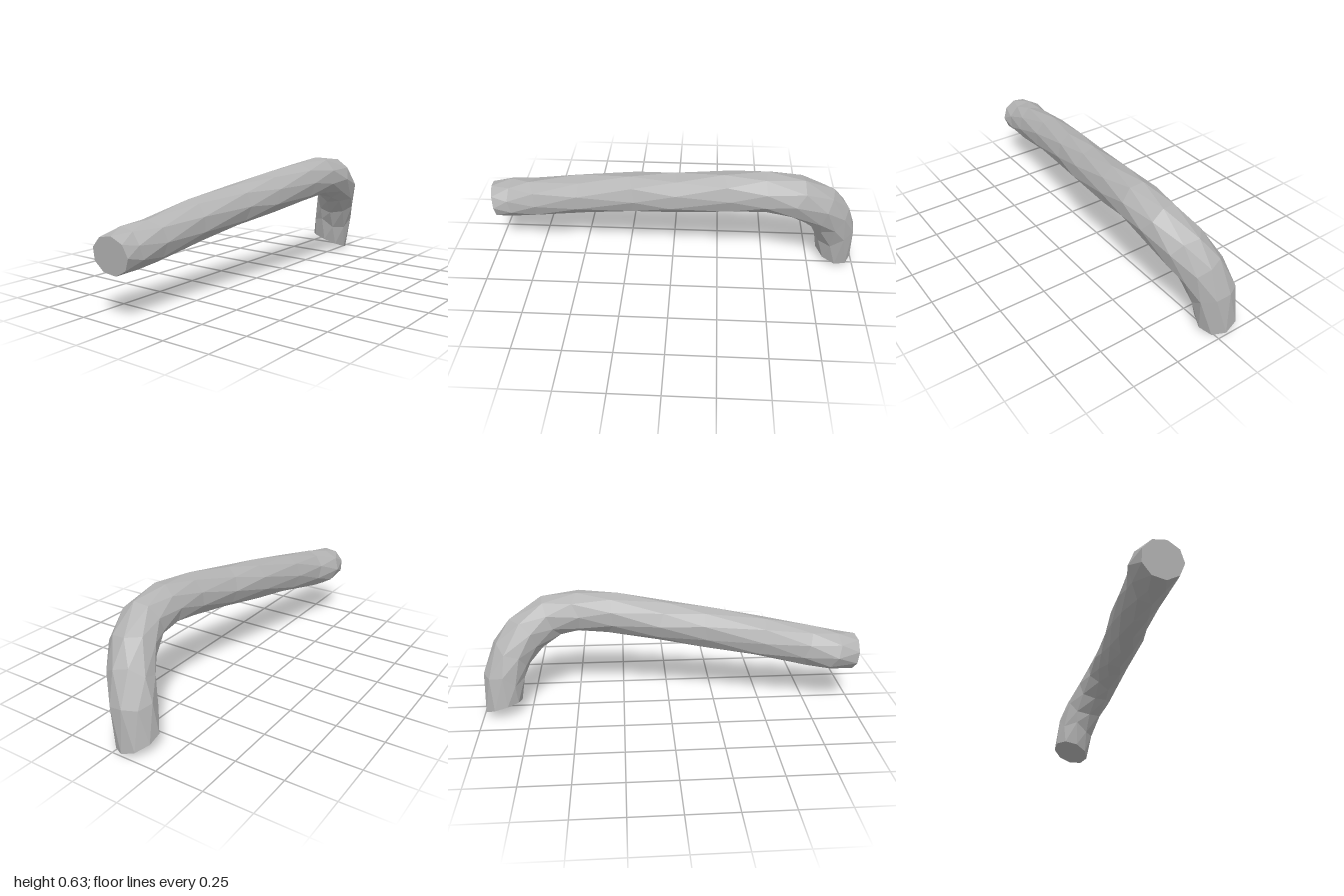
import * as THREE from 'three';

const SIDES = 9;

// Centre line from the long end to the hooked end: x, y, z, half width, half height
const STATIONS = [
  [-0.07, 0.313, 0.985, 0.102, 0.095],
  [-0.08, 0.325, 0.88, 0.115, 0.102],
  [-0.055, 0.345, 0.74, 0.103, 0.106],
  [-0.03, 0.393, 0.5, 0.102, 0.107],
  [0.01, 0.44, 0.2, 0.104, 0.107],
  [0.045, 0.468, -0.02, 0.104, 0.107],
  [0.078, 0.507, -0.3, 0.104, 0.107],
  [0.09, 0.52, -0.49, 0.105, 0.108],
  [0.086, 0.49, -0.64, 0.108, 0.113],
  [0.05, 0.415, -0.765, 0.112, 0.115],
  [0, 0.32, -0.842, 0.112, 0.112],
  [-0.042, 0.2, -0.885, 0.11, 0.108],
  [-0.068, 0.043, -0.897, 0.104, 0.101],
];

// Small seeded generator for the hand-cut unevenness
function seeded(seed) {
  return () => {
    seed = (seed * 16807) % 2147483647;
    return seed / 2147483647;
  };
}

function buildRings() {
  const rand = seeded(71);
  const centres = STATIONS.map(([x, y, z]) => new THREE.Vector3(x, y, z));
  const last = centres.length - 1;
  return STATIONS.map(([, , , w, h], j) => {
    const c = centres[j];
    const t = centres[Math.min(j + 1, last)].clone().sub(centres[Math.max(j - 1, 0)]).normalize();
    const side = new THREE.Vector3(1, 0, 0).addScaledVector(t, -t.x).normalize();
    const up = side.clone().cross(t);
    const isEnd = j === 0 || j === last;
    return Array.from({ length: SIDES }, (_, i) => {
      const a = ((i + (j % 2) / 2) / SIDES) * Math.PI * 2;
      const r = isEnd ? 1 : 0.98 + rand() * 0.06;
      const p = c.clone()
        .addScaledVector(side, Math.cos(a) * w * r)
        .addScaledVector(up, Math.sin(a) * h * r);
      if (!isEnd) p.addScaledVector(t, (rand() - 0.5) * 0.05);
      // Slanted cut at the hooked end
      if (j === last) p.y = Math.max(0, c.y - 0.3 * (p.x - c.x) + 0.3 * (p.z - c.z));
      return p;
    });
  });
}

function meshFrom(name, triangles, material) {
  const geometry = new THREE.BufferGeometry().setFromPoints(triangles);
  geometry.computeVertexNormals(); // unshared corners give flat facets
  const mesh = new THREE.Mesh(geometry, material);
  mesh.name = name;
  return mesh;
}

function capTriangles(ring, reverse) {
  const tris = [];
  for (let i = 1; i < SIDES - 1; i++) {
    tris.push(ring[0], ...(reverse ? [ring[i + 1], ring[i]] : [ring[i], ring[i + 1]]));
  }
  return tris;
}

export function createModel() {
  const group = new THREE.Group();
  group.name = 'bentRod';
  const grey = new THREE.MeshStandardMaterial({ color: 0xb4b4b4, flatShading: true });
  grey.name = 'plain grey';

  // Faceted skin: staggered rings joined by triangles
  const rings = buildRings();
  const skin = [];
  for (let j = 0; j < rings.length - 1; j++) {
    const a = rings[j], b = rings[j + 1];
    for (let i = 0; i < SIDES; i++) {
      const n = (i + 1) % SIDES;
      if (j % 2 === 0) skin.push(a[i], b[i], a[n], b[i], b[n], a[n]);
      else skin.push(a[i], b[i], b[n], a[i], b[n], a[n]);
    }
  }
  group.add(meshFrom('rodSkin', skin, grey));

  // Flat cut ends
  group.add(meshFrom('longEndCut', capTriangles(rings[0], false), grey));
  group.add(meshFrom('hookEndCut', capTriangles(rings[rings.length - 1], true), grey));
  return group;
}
